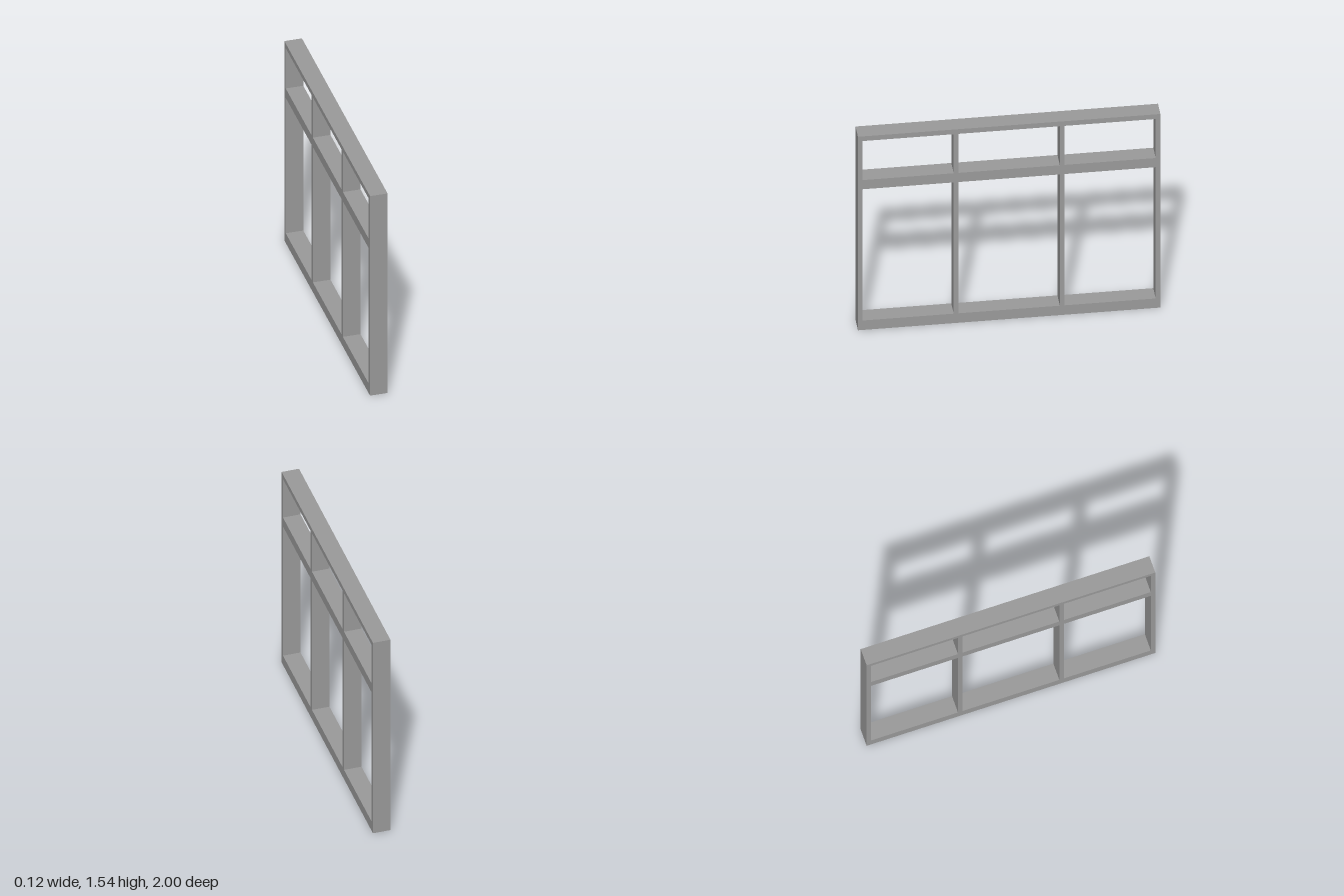
import * as THREE from 'three';

const DEPTH = 0.12, HEIGHT = 1.542, STILE = 0.031;
const material = new THREE.MeshStandardMaterial({ color: 0x9b9b9b, flatShading: true });

// A frame member spanning y0..y1 and z0..z1 at the full frame depth
function member(name, y0, y1, z0, z1) {
  const mesh = new THREE.Mesh(new THREE.BoxGeometry(DEPTH, y1 - y0, z1 - z0), material);
  mesh.position.set(0, (y0 + y1) / 2, (z0 + z1) / 2);
  mesh.name = name;
  return mesh;
}

export function createModel() {
  const group = new THREE.Group();
  group.name = 'windowFrame';

  // Horizontal rails between the outer stiles
  const rails = [['sill', 0, 0.075], ['transom', 1.121, 1.194], ['headRail', 1.505, HEIGHT]];
  const inner = 1 - STILE;
  for (const [name, y0, y1] of rails) group.add(member(name, y0, y1, -inner, inner));

  // Outer stiles and the mullions that divide each row into three lights
  for (const [side, s] of [['front', 1], ['back', -1]]) {
    const span = (a, b) => (s > 0 ? [a, b] : [-b, -a]);
    group.add(member(side + 'Stile', 0, HEIGHT, ...span(inner, 1)));
    group.add(member(side + 'LowerMullion', rails[0][2], rails[1][1], ...span(0.335, 0.367)));
    group.add(member(side + 'UpperMullion', rails[1][2], rails[2][1], ...span(0.335, 0.367)));
  }
  return group;
}
